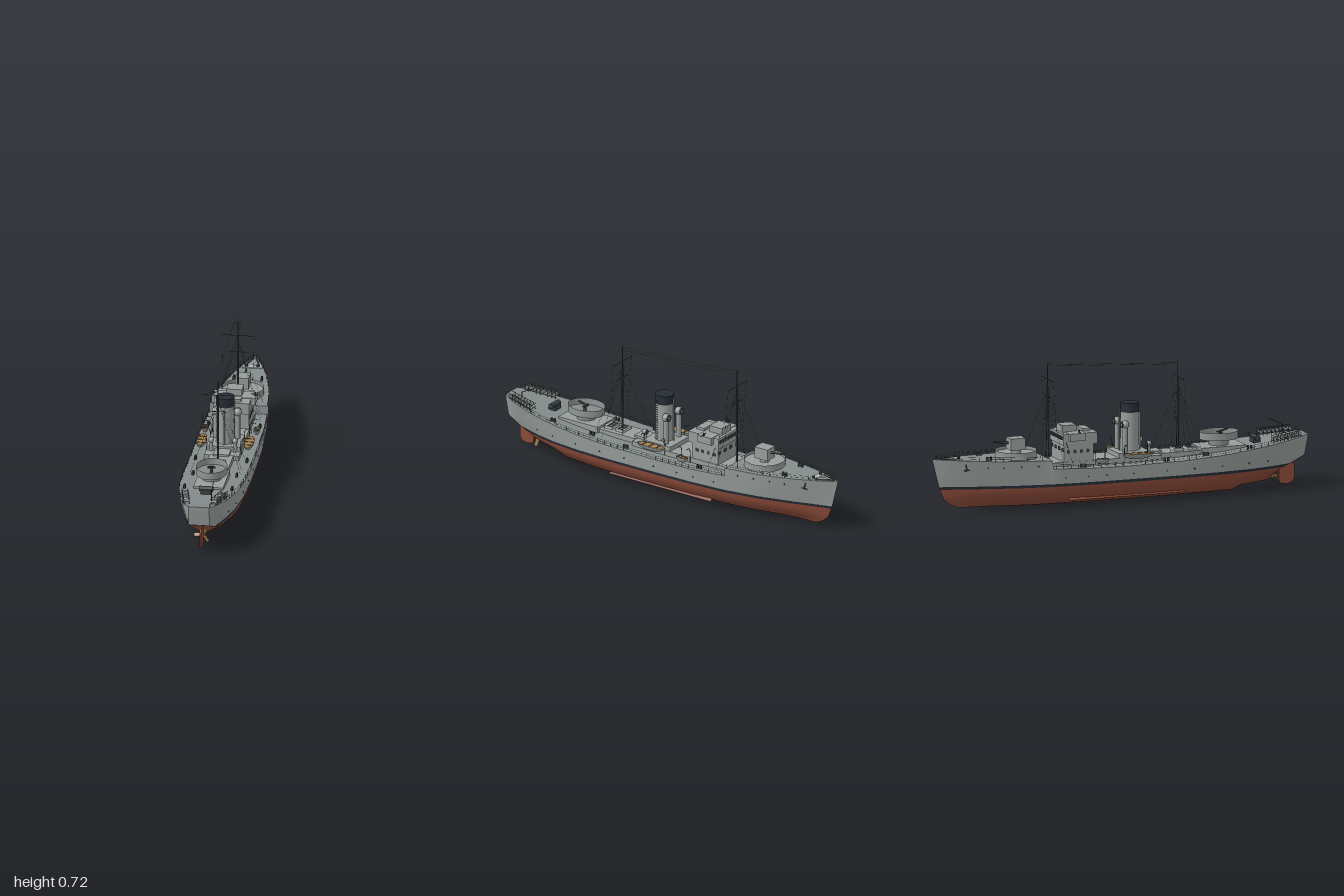
import * as THREE from 'three';
import { mergeGeometries, toCreasedNormals } from 'three/addons/utils/BufferGeometryUtils.js';

const V = (x, y, z) => new THREE.Vector3(x, y, z);
const mat = (name, color, side = THREE.FrontSide) => {
  const m = new THREE.MeshStandardMaterial({ color, side });
  m.name = name;
  return m;
};

// Linear lookup in a short table of [position, value]
function look(table, s) {
  if (s <= table[0][0]) return table[0][1];
  for (let i = 1; i < table.length; i++) {
    const [a, u] = table[i - 1], [b, v] = table[i];
    if (s <= b) return u + (v - u) * (s - a) / (b - a);
  }
  return table[table.length - 1][1];
}

// Hull lines: half widths, keel, sheer, fullness and stem, bow at -1 and stern at 1
const DECK_W = [[-1, .002], [-.95, .025], [-.9, .047], [-.8, .081], [-.7, .107], [-.6, .127], [-.4, .15], [-.2, .16], [0, .162], [.4, .162], [.6, .155], [.7, .145], [.8, .127], [.9, .1], [.96, .076], [1, .052]];
const WATER_W = [[-1, .002], [-.9, .028], [-.8, .056], [-.6, .106], [-.4, .14], [-.2, .153], [0, .157], [.3, .157], [.5, .149], [.65, .13], [.75, .108], [.82, .085], [.87, .068], [1, .053]];
const KEEL = [[-1, .014], [-.8, .01], [-.5, .002], [0, 0], [.6, .001], [.66, .02], [.8, .038], [.83, .055], [.85, .108], [.87, .116], [.97, .15], [1, .162]];
const SHEER = [[-1, .27], [-.7, .256], [-.41, .248], [-.405, .206], [-.2, .197], [0, .195], [.3, .2], [.5, .211], [.8, .242], [1, .268]];
const FULL = [[-1, .9], [-.6, .62], [-.2, .5], [.3, .5], [.6, .75], [.75, 1.3], [.84, 1.9]];
const STEM = [[.01, -.85], [.03, -.9], [.06, -.938], [.12, -.962], [.27, -1]];
const deckY = s => look(SHEER, s);
const waterY = s => Math.max(.112, look(KEEL, s));
const bootY = s => Math.max(.126, look(KEEL, s) + .002);

// Point on the left side of the hull at station s and height y
function side(s, y) {
  const k = Math.min(look(KEEL, s), .111), wy = waterY(s), w = look(WATER_W, s);
  let x;
  if (y <= wy) {
    const t = Math.max(0, (y - k) / (wy - k));
    x = w * Math.pow(1 - (1 - t) ** 2, look(FULL, s));
  } else x = w + (look(DECK_W, s) - w) * Math.pow(Math.min(1, (y - wy) / (deckY(s) - wy)), .85);
  let z = s;
  if (s < -.5) z = -.5 + (s + .5) / -.5 * (look(STEM, y) + .5);
  if (s > .9) z -= (s - .9) * .2 * Math.max(0, 1 - (y - .16) / .1);
  return V(x, y, z);
}
const mir = p => V(-p.x, p.y, p.z);

// Skin over rows of points
function loft(rows, crease = .5) {
  const n = rows[0].length, idx = [];
  for (let i = 0; i < rows.length - 1; i++) for (let j = 0; j < n - 1; j++) {
    const a = i * n + j, b = a + n;
    idx.push(a, a + 1, b + 1, a, b + 1, b);
  }
  const g = new THREE.BufferGeometry().setFromPoints(rows.flat());
  g.setIndex(idx);
  return toCreasedNormals(g, crease);
}

// Thin rod between two points
function rod(p, q, r = .0012, r2 = r, n = 5) {
  const d = q.clone().sub(p);
  const g = new THREE.CylinderGeometry(r2, r, d.length(), n);
  g.applyQuaternion(new THREE.Quaternion().setFromUnitVectors(V(0, 1, 0), d.normalize()));
  return g.translate((p.x + q.x) / 2, (p.y + q.y) / 2, (p.z + q.z) / 2);
}
const box = (x0, x1, y0, y1, z0, z1) =>
  new THREE.BoxGeometry(x1 - x0, y1 - y0, z1 - z0).translate((x0 + x1) / 2, (y0 + y1) / 2, (z0 + z1) / 2);
const cyl = (r, y0, y1, x, z, n = 24, rt = r) => new THREE.CylinderGeometry(rt, r, y1 - y0, n).translate(x, (y0 + y1) / 2, z);

export function createModel() {
  const model = new THREE.Group();
  model.name = 'escortShip';
  const grey = mat('hullGrey', 0x979e9c), deck = mat('deckGrey', 0x848c8b), red = mat('bottomRed', 0x8a4a39),
    black = mat('bootBlack', 0x262d36), dark = mat('fittingDark', 0x3a4042), wood = mat('boatWood', 0xa87f4c),
    bronze = mat('propellerBronze', 0xa88c60), tub = mat('tubGrey', 0x8f9694, THREE.DoubleSide), pale = mat('paleGrey', 0xb4b9b7);
  const add = (name, g, m) => {
    const list = Array.isArray(g) ? g : [g];
    const mesh = new THREE.Mesh(list.length > 1 ? mergeGeometries(list) : list[0], m);
    mesh.name = name;
    model.add(mesh);
    return mesh;
  };

  // Hull: underwater body, boot stripe, topsides, deck and transom
  const st = [-.41, -.405, .63, .66, .82, .83, .84, .86, .87, .89, .93, .97];
  for (let i = 0; i <= 40; i++) st.push(-1 + i * .05);
  st.sort((a, b) => a - b);
  const bottomRow = s => {
    const k = look(KEEL, s), half = [];
    for (let j = 1; j <= 10; j++) {
      const t = (j / 10) ** 1.6, kk = Math.min(k, .111), p = side(s, kk + t * (.112 - kk));
      if (k > .112) { const e = side(s, waterY(s)); p.set(e.x * j / 10, e.y, e.z); }
      half.push(p);
    }
    const c = side(s, Math.min(waterY(s), k)); c.x = 0;
    return [...half.map(mir).reverse(), c, ...half];
  };
  const part = (a, b) => st.filter(s => s >= a - 1e-6 && s <= b + 1e-6).map(bottomRow);
  add('underwaterHull', loft(part(-1, .87)), red);
  add('sternStripe', loft(part(.87, .89)), black);
  add('sternCounter', loft(part(.89, 1)), grey);
  const band = (lo, hi, n) => {
    const rows = st.map(s => Array.from({ length: n + 1 }, (_, j) => side(s, lo(s) + (hi(s) - lo(s)) * j / n)));
    return [loft(rows), loft(rows.map(r => r.map(mir).reverse()))];
  };
  add('bootStripe', band(waterY, bootY, 1), black);
  add('topsides', band(bootY, deckY, 5), grey);
  add('mainDeck', loft(st.map(s => { const p = side(s, deckY(s)); return [p, mir(p)]; }), .2), deck);
  const tr = Array.from({ length: 7 }, (_, j) => side(1, waterY(1) + (deckY(1) - waterY(1)) * j / 6));
  add('transom', loft(tr.map(p => [p, mir(p)]).reverse()), grey);

  // Rudder, propeller and bilge keels
  const rs = new THREE.Shape();
  rs.moveTo(.862, .125);
  rs.lineTo(.862, .03); rs.quadraticCurveTo(.865, .01, .9, .01); rs.quadraticCurveTo(.94, .012, .945, .04);
  rs.lineTo(.945, .1); rs.quadraticCurveTo(.94, .125, .9, .128);
  add('rudder', new THREE.ExtrudeGeometry(rs, { depth: .008, bevelEnabled: false }).rotateY(-Math.PI / 2).translate(.004, 0, 0), red);
  const blades = [new THREE.CylinderGeometry(.006, .009, .035, 12).rotateX(Math.PI / 2).translate(0, .055, .835)];
  for (let i = 0; i < 3; i++) blades.push(new THREE.BoxGeometry(.02, .042, .003).rotateY(.6).translate(0, .025, 0)
    .rotateZ(-.45 + i * Math.PI * 2 / 3).translate(0, .055, .835));
  add('propeller', blades, bronze);
  add('rudderPost', rod(V(0, .02, .857), V(0, .13, .857), .003), red);
  add('bilgeKeels', [1, -1].map(m => new THREE.BoxGeometry(.022, .003, .62).rotateZ(-m * .6).translate(m * .122, .041, 0)), red);

  // Portholes and anchors
  const ports = [], rails = [];
  for (const m of [1, -1]) {
    const hole = (s, y) => {
      const p = side(s, y);
      ports.push(new THREE.CylinderGeometry(.0042, .0042, .005, 10).rotateZ(Math.PI / 2).translate(m * p.x, y, p.z));
    };
    [.76, .65, .5, .35, .2, .02, -.12, -.22, -.34].forEach(s => hole(s, .156));
    [-.48, -.57, -.66, -.74].forEach(s => hole(s, .222));
    const p = side(-.85, .23), x = m * (p.x + .003);
    ports.push(rod(V(x, .245, p.z), V(x, .21, p.z + .008), .003), rod(V(x, .213, p.z - .008), V(x, .213, p.z + .022), .003));

    // Guard rails along the deck edges
    for (const [a, b] of [[-.98, -.42], [-.39, .99]]) {
      const n = Math.round((b - a) / .04);
      let last = null;
      for (let i = 0; i <= n; i++) {
        const s = a + (b - a) * i / n, q = side(s, deckY(s));
        q.x = m * Math.max(.002, q.x - .003);
        const top = q.clone().setY(q.y + .02), mid = q.clone().setY(q.y + .01);
        rails.push(rod(q, top, .0008, .0008, 4));
        if (last) rails.push(rod(last[0], top, .0006, .0006, 4), rod(last[1], mid, .0005, .0005, 4));
        last = [top, mid];
      }
    }
  }
  add('portholesAndAnchors', ports, dark);
  add('guardRails', rails, dark);

  // Deckhouses, bridge and casing
  add('deckhouses', [box(-.088, .088, .19, .222, -.4, .2), box(-.085, .085, .19, .245, -.03, .14), box(-.06, .06, .19, .225, .2, .43),
    box(-.075, .075, .2, .238, .42, .66), box(-.04, .04, .22, .235, .14, .22)], grey);
  add('bridge', [box(-.085, .085, .2, .308, -.325, -.165), box(-.09, .09, .308, .365, -.33, -.145),
    box(-.11, .11, .33, .368, -.3, -.215), box(-.04, .04, .36, .4, -.315, -.24), box(-.045, .045, .36, .378, -.21, -.165)], grey);
  const panes = [];
  for (let i = -3; i <= 3; i++) {
    panes.push(box(i * .024 - .008, i * .024 + .008, .335, .353, -.333, -.329));
    if (i % 2) panes.push(box(i * .024 - .009, i * .024 + .009, .275, .292, -.328, -.324));
  }
  for (const m of [1, -1]) for (const z of [-.3, -.265, -.23, -.195]) panes.push(box(m * .085 - .002, m * .085 + .002, .265, .28, z - .008, z + .008));
  add('bridgeWindows', panes, dark);
  add('wingGuns', [1, -1].flatMap(m => [rod(V(m * .105, .365, -.25), V(m * .105, .385, -.25), .004), rod(V(m * .085, .378, -.25), V(m * .13, .373, -.25), .002)]), dark);

  // Funnel with dark top, pipes, ladder and cowl vents
  add('funnel', cyl(.048, .24, .44, 0, .062, 32, .046), grey);
  add('funnelTop', cyl(.0465, .44, .487, 0, .062, 32), black);
  add('funnelPipes', [rod(V(0, .24, .115), V(0, .43, .115), .005, .005, 10), rod(V(0, .24, .006), V(0, .47, .006), .004, .004, 8)], grey);
  const rungs = [];
  for (let i = 0; i < 18; i++) rungs.push(rod(V(.047, .255 + i * .012, .085), V(.052, .255 + i * .012, .068), .0012));
  add('funnelLadder', rungs, dark);
  const cowls = [], mouths = [];
  for (const m of [1, -1]) for (const [z, x, h, r] of [[.015, .055, .385, .013], [.14, .06, .28, .009]]) {
    cowls.push(cyl(r, .22, h, m * x, z, 14), new THREE.SphereGeometry(r * 1.6, 14, 10).translate(m * x, h, z));
    mouths.push(new THREE.CylinderGeometry(r * 1.35, r * 1.35, .004, 14).rotateX(Math.PI / 2).translate(m * x, h, z - r * 1.35));
  }
  add('cowlVents', cowls, grey);
  add('cowlMouths', mouths, dark);

  // Lifeboats, small rafts and davits
  const hulls = [], insides = [], davits = [], thwarts = [];
  for (const m of [1, -1]) for (const [x, y, z, L, w] of [[.12, .246, .062, .082, .025], [.13, .235, -.135, .035, .017]]) {
    hulls.push(new THREE.SphereGeometry(1, 18, 8, 0, Math.PI * 2, Math.PI / 2, Math.PI / 2).scale(w, .028, L).translate(m * x, y, z));
    insides.push(new THREE.CircleGeometry(1, 24).rotateX(-Math.PI / 2).scale(w * .94, 1, L * .96).translate(m * x, y, z));
    for (const f of [-.5, 0, .5]) thwarts.push(box(m * x - w * .8, m * x + w * .8, y, y + .002, z + f * L - .003, z + f * L + .003));
    for (const f of [-.75, .75]) {
      const c = new THREE.CatmullRomCurve3([V(m * (x - .032), .2, z + f * L), V(m * (x - .032), y + .03, z + f * L), V(m * (x - .02), y + .045, z + f * L), V(m * x, y + .04, z + f * L)]);
      davits.push(new THREE.TubeGeometry(c, 8, .0018, 5));
    }
  }
  add('boatHulls', hulls, tub);
  add('boatInteriors', insides, wood);
  add('boatThwarts', thwarts, dark);
  add('davits', davits, dark);

  // Forward gun on its round platform
  add('gunPlatform', cyl(.104, .245, .272, 0, -.55, 40), grey);
  add('platformParapet', new THREE.CylinderGeometry(.105, .105, .018, 40, 1, true).translate(0, .28, -.55), tub);
  add('gunShield', [box(-.034, .034, .29, .35, -.59, -.51), cyl(.025, .265, .295, 0, -.55, 16)], grey);
  add('gunBarrel', rod(V(0, .325, -.58), V(0, .335, -.672), .006, .004, 10), dark);

  // Aft gun tub
  add('aftTubFloor', [cyl(.1, .268, .272, 0, 0, 32).scale(.78, 1, 1).translate(0, 0, .54), cyl(.05, .23, .27, 0, .54, 16)], deck);
  add('aftTubWall', new THREE.CylinderGeometry(.1, .1, .036, 32, 1, true).scale(.78, 1, 1).translate(0, .288, .54), tub);
  add('aftGun', [cyl(.008, .27, .3, 0, .55, 10), rod(V(.006, .3, .53), V(.006, .315, .59), .003), rod(V(-.006, .3, .53), V(-.006, .315, .59), .003), box(-.02, .02, .295, .303, .54, .552)], dark);

  // Skylights, forecastle gear and winch
  add('skylights', [box(-.035, .035, .225, .238, .29, .34), box(-.035, .035, .225, .238, .36, .41), box(-.05, .05, .26, .268, -.885, -.855)], pale);
  const gear = [];
  for (const z of [.3, .318, .366, .384]) for (const x of [-.024, -.008, .008, .024]) gear.push(box(x - .005, x + .005, .237, .24, z, z + .011));
  for (const m of [1, -1]) {
    gear.push(rod(V(m * .004, .271, -.975), V(m * .038, .265, -.88), .003), cyl(.008, .262, .278, m * .03, -.87, 10));
    for (const [x, z] of [[.07, -.73], [.12, .65], [.07, -.36], [.13, -.25], [.13, .2], [.11, .42]]) gear.push(cyl(.006, deckY(z), deckY(z) + .018, m * x, z, 10), cyl(.006, deckY(z), deckY(z) + .018, m * x, z + .018, 10));
  }
  gear.push(box(-.025, .025, .235, .262, .715, .755), new THREE.CylinderGeometry(.014, .014, .07, 12).rotateZ(Math.PI / 2).translate(0, .26, .735));
  add('deckGear', gear, dark);

  // Stern racks with drums, and the derrick
  const drums = [], racks = [];
  for (const m of [1, -1]) {
    const at = (t, o = 0, y = 0) => V(m * (.1 - .033 * t + o), .248 + .016 * t + y, .79 + .165 * t);
    for (const o of [-.015, .015]) for (const y of [.005, .03]) racks.push(rod(at(0, o, y), at(1, o, y), .0015));
    for (let i = 0; i < 8; i++) {
      const c = at((i + .5) / 8, 0, .015);
      drums.push(new THREE.CylinderGeometry(.008, .008, .026, 12).rotateZ(Math.PI / 2).translate(c.x, c.y, c.z));
      for (const o of [-.015, .015]) racks.push(rod(at(i / 8, o, -.004), at(i / 8, o, .03), .0012));
    }
  }
  add('sternDrums', drums, grey);
  add('sternRacks', [...racks, rod(V(.05, .245, .9), V(.05, .305, .9), .003), rod(V(.05, .3, .905), V(.05, .34, .825), .002)], dark);

  // Masts with yards, stays, halyards and the aerial
  const spars = [], wires = [];
  const mast = (z, base, top, wide, short) => {
    spars.push(rod(V(0, base, z), V(0, top - .1, z), .006, .004, 10), rod(V(0, top - .1, z), V(0, top, z), .0028, .0015, 8),
      rod(V(-.083, wide, z), V(.083, wide, z), .0016), rod(V(-.045, short, z), V(.045, short, z), .0016),
      rod(V(-.018, top - .015, z), V(.018, top - .015, z), .001));
    for (const m of [1, -1]) {
      for (const dz of [.09, .04, -.09]) wires.push(rod(V(0, wide - .03, z), V(m * .125, .215, z + dz), .0006, .0006, 4));
      wires.push(rod(V(m * .082, wide, z), V(m * .075, .36, z + .02), .0005, .0005, 4));
    }
    for (let y = base + .02; y < top - .13; y += .014) spars.push(rod(V(-.006, y, z + .007), V(.006, y, z + .007), .0009, .0009, 4));
  };
  mast(-.38, .2, .72, .635, .547);
  mast(.32, .2, .68, .597, .508);
  for (const m of [1, -1]) wires.push(rod(V(m * .018, .705, -.38), V(m * .018, .665, .32), .0006, .0006, 4));
  add('mastsAndYards', spars, dark);
  add('rigging', wires, dark);
  return model;
}
